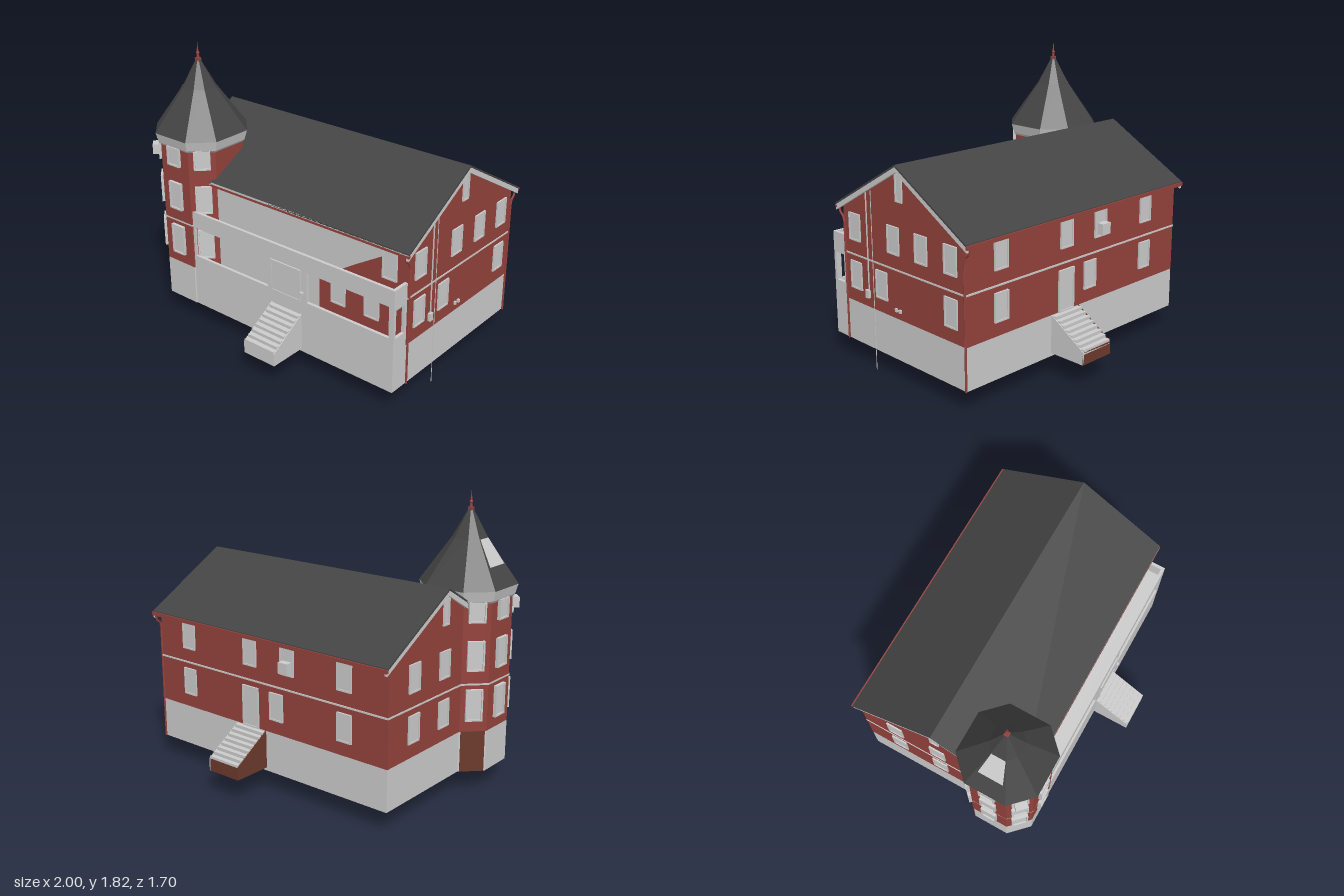
import * as THREE from 'three';

const mat = (color) => new THREE.MeshStandardMaterial({ color, side: THREE.DoubleSide, flatShading: true });
const GREY = mat(0xcccccc), RED = mat(0x94423c), ROOF = mat(0x444444), BROWN = mat(0x6b3a2c);

// House limits
const X0 = -0.85, X1 = 0.97, ZB = -0.6, ZF = 0.48, ZP = 0.6, RIDGE = -0.06;
const BASE = 0.13, FLOOR = 0.39;
const TX = -0.73, TZ = 0.365;

function add(parent, name, geo, material, x = 0, y = 0, z = 0, ry = 0) {
  const m = new THREE.Mesh(geo, material);
  m.name = name;
  m.position.set(x, y, z);
  m.rotation.y = ry;
  parent.add(m);
  return m;
}

// Box given by its limits
function box(parent, name, material, x0, x1, y0, y1, z0, z1) {
  return add(parent, name, new THREE.BoxGeometry(x1 - x0, y1 - y0, z1 - z0), material,
    (x0 + x1) / 2, (y0 + y1) / 2, (z0 + z1) / 2);
}

// Strip of flat quads between consecutive point rows
function loft(rows) {
  const pos = [];
  for (let r = 0; r < rows.length - 1; r++) {
    for (let i = 0; i < rows[r].length - 1; i++) {
      const a = rows[r][i], b = rows[r][i + 1], c = rows[r + 1][i + 1], d = rows[r + 1][i];
      pos.push(...a, ...b, ...c, ...a, ...c, ...d);
    }
  }
  const g = new THREE.BufferGeometry();
  g.setAttribute('position', new THREE.Float32BufferAttribute(pos, 3));
  g.computeVertexNormals();
  return g;
}
const wall = (path, y0, y1) => loft([y0, y1].map((y) => path.map(([x, z]) => [x, y, z])));

// Closed octagon ring with half-width a and short diagonal sides, running anticlockwise from above
function octagon(a, y) {
  const h = a / 2;
  return [[h, a], [a, h], [a, -h], [h, -a], [-h, -a], [-a, -h], [-a, h], [-h, a], [h, a]]
    .map(([x, z]) => [x, y, z]);
}

const polygon = (pts) => new THREE.Shape(pts.map(([x, y]) => new THREE.Vector2(x, y)));
// Extrude a (z, y) profile along x
function alongX(pts, x0, x1) {
  const g = new THREE.ExtrudeGeometry(polygon(pts.map(([z, y]) => [-z, y])), { depth: x1 - x0, bevelEnabled: false });
  return g.rotateY(Math.PI / 2).translate(x0, 0, 0);
}

// Framed window or door; local +z points out of the wall
function opening(parent, name, x, y, z, w, h, ry = 0, depth = 0.012) {
  const g = new THREE.Group();
  g.name = name;
  g.position.set(x, y, z);
  g.rotation.y = ry;
  const t = 0.01;
  box(g, 'pane', GREY, -w / 2, w / 2, -h / 2, h / 2, -0.005, depth * 0.5);
  for (const s of [-1, 1]) {
    add(g, 'frameSide', new THREE.BoxGeometry(t, h, depth), GREY, s * (w - t) / 2, 0, depth / 2);
    add(g, 'frameRail', new THREE.BoxGeometry(w, t, depth), GREY, 0, s * (h - t) / 2, depth / 2);
  }
  parent.add(g);
}

// Stairs descending toward local +z, with closed sloping sides
function stairs(name, z, ry, back) {
  const g = new THREE.Group();
  g.name = name;
  g.position.set(0.18, 0, z);
  g.rotation.y = ry;
  const n = 8, run = 0.25 / n, rise = 0.16 / n;
  for (let i = 0; i < n; i++) {
    const top = FLOOR - 0.005 - i * rise;
    box(g, 'step', GREY, -0.115, 0.115, top - rise - 0.01, top, i * run, (i + 1) * run);
  }
  const side = [[0, 0.15], [0.25, 0.15], [0.25, 0.23], [0, FLOOR]];
  add(g, 'stringer', alongX(side, -0.12, -0.112), GREY);
  add(g, 'stringer', alongX(side, 0.112, 0.12), back ? BROWN : GREY);
  box(g, 'front', back ? BROWN : GREY, -0.12, 0.12, 0.15, 0.23, 0.242, 0.25);
  return g;
}

function buildHouse() {
  const g = new THREE.Group();
  g.name = 'house';
  add(g, 'foundation', wall([[-0.61, ZP], [X1, ZP], [X1, ZB], [X0, ZB], [X0, 0.125]], BASE, FLOOR), GREY);
  add(g, 'backWall', wall([[X1, ZB], [X0, ZB]], FLOOR, 0.99), RED);
  add(g, 'frontWall', wall([[-0.55, ZF], [X1, ZF]], FLOOR, 0.99), RED);
  const gable = [[ZF, FLOOR], [ZB, FLOOR], [ZB, 0.985], [RIDGE, 1.29], [ZF, 0.985]];
  for (const x of [X0, X1]) add(g, 'gableWall', alongX(gable, x - 0.002, x + 0.002), RED);

  // Pale cladding on the front wall
  const clad = [[[-0.55, FLOOR], [0.34, FLOOR], [0.34, 0.62], [0.43, 0.68], [-0.55, 0.68]],
    [[-0.55, 0.68], [0.45, 0.68], [0.62, 0.79], [0.8, 0.9], [0.8, 0.985], [-0.55, 0.985]]];
  for (const c of clad) add(g, 'cladding', new THREE.ShapeGeometry(polygon(c)), GREY, 0, 0, ZF + 0.004);

  // Storey band
  box(g, 'bandBack', GREY, X0, X1, 0.685, 0.695, ZB - 0.006, ZB);
  box(g, 'bandRight', GREY, X1, X1 + 0.006, 0.685, 0.695, ZB, ZF);
  box(g, 'bandLeft', GREY, X0 - 0.006, X0, 0.685, 0.695, ZB, 0.13);

  // Roof with pale verge boards, soffits and gutters
  const chevron = (d0, d1) => [[0.52, 0.99 - d0], [RIDGE, 1.32 - d0], [-0.64, 0.99 - d0],
    [-0.64, 0.99 - d1], [RIDGE, 1.32 - d1], [0.52, 0.99 - d1]];
  add(g, 'roof', alongX(chevron(0, 0.012), -0.875, 1), ROOF);
  add(g, 'soffit', alongX(chevron(0.012, 0.02), -0.87, 0.996), GREY);
  for (const x of [-0.872, 0.98]) add(g, 'vergeBoard', alongX(chevron(0.012, 0.045), x, x + 0.018), GREY);
  box(g, 'frontFascia', GREY, -0.51, 0.995, 0.975, 0.99, 0.505, 0.52);
  box(g, 'frontGutter', RED, -0.51, 1, 0.963, 0.977, 0.508, 0.522);
  box(g, 'backGutter', RED, -0.875, 1, 0.963, 0.985, -0.65, -0.636);
  for (const [z, e] of [[0.47, 0.515], [-0.6, -0.64]]) {
    const path = new THREE.CatmullRomCurve3([[e, 0.965], [e, 0.94], [z, 0.9], [z, 0.86], [z, BASE]]
      .map(([pz, y]) => new THREE.Vector3(X1 + 0.006, y, pz)), false, 'catmullrom', 0.1);
    add(g, 'downpipe', new THREE.TubeGeometry(path, 24, 0.007, 6), RED);
  }

  // Windows and doors
  const R = Math.PI / 2;
  for (const z of [0.367, 0.005, -0.24, -0.485]) opening(g, 'window', X1, 0.865, z, 0.105, 0.17, R);
  for (const z of [0.367, 0.125, -0.485]) opening(g, 'window', X1, 0.563, z, 0.105, 0.175, R);
  for (const z of [-0.36, -0.06]) for (const y of [0.865, 0.563]) opening(g, 'window', X0, y, z, 0.105, 0.17, -R);
  for (const s of [-1, 1]) opening(g, 'atticWindow', s < 0 ? X0 : X1, 1.18, RIDGE, 0.06, 0.16, s * R);
  for (const x of [0.71, 0.18, -0.12, -0.55]) opening(g, 'window', x, 0.865, ZB, 0.105, 0.17, Math.PI);
  for (const x of [0.71, -0.03, -0.55]) opening(g, 'window', x, 0.563, ZB, 0.105, 0.175, Math.PI);
  opening(g, 'backDoor', 0.18, 0.52, ZB, 0.13, 0.26, Math.PI);
  for (const x of [0.485, 0.73]) opening(g, 'window', x, 0.563, ZF, 0.105, 0.175);
  opening(g, 'balconyWindow', 0.85, 0.865, ZF, 0.1, 0.19);
  box(g, 'airConditioner', GREY, -0.16, -0.09, 0.8, 0.87, -0.65, ZB);

  // Service fittings on the right gable
  box(g, 'groundRod', GREY, X1 + 0.003, X1 + 0.006, 0, 1.12, 0.203, 0.206);
  box(g, 'conduit', GREY, X1 + 0.003, X1 + 0.009, 0.5, 1.1, 0.246, 0.252);
  box(g, 'meter', GREY, X1, X1 + 0.02, 0.45, 0.5, 0.24, 0.27);
  for (const z of [-0.01, -0.045]) box(g, 'vent', GREY, X1, X1 + 0.015, 0.435, 0.455, z - 0.008, z + 0.008);
  return g;
}

function buildPorch() {
  const g = new THREE.Group();
  g.name = 'porch';
  // Front screen with two wide openings and the doorway
  const front = polygon([[-0.61, FLOOR], [X1, FLOOR], [X1, 0.79], [-0.61, 0.79]]);
  for (const [a, b, y0] of [[-0.59, 0.03, 0.48], [0.34, 0.935, 0.48]]) {
    front.holes.push(polygon([[a, y0], [a, 0.68], [b, 0.68], [b, y0]]));
  }
  add(g, 'frontScreen', new THREE.ExtrudeGeometry(front, { depth: 0.02, bevelEnabled: false }), GREY, 0, 0, ZP - 0.02);
  // End wall with its opening
  const end = polygon([[-ZP, FLOOR], [-ZF, FLOOR], [-ZF, 0.79], [-ZP, 0.79]]);
  end.holes.push(polygon([[-0.58, 0.48], [-0.5, 0.48], [-0.5, 0.66], [-0.58, 0.66]]));
  add(g, 'endScreen', new THREE.ExtrudeGeometry(end, { depth: 0.02, bevelEnabled: false }).rotateY(Math.PI / 2), GREY, X1 - 0.02);
  box(g, 'floor', GREY, -0.55, X1, FLOOR - 0.01, FLOOR, ZF, ZP);
  box(g, 'balconyFloor', GREY, -0.55, X1, 0.68, 0.69, ZF, ZP);
  opening(g, 'frontDoor', 0.18, 0.58, ZP, 0.235, 0.21, 0, 0.01);
  box(g, 'doorLamp', GREY, 0.3, 0.32, 0.53, 0.545, ZP, ZP + 0.02);
  return g;
}

function buildTower() {
  const g = new THREE.Group();
  g.name = 'tower';
  g.position.set(TX, 0, TZ);
  const A = 0.24;
  add(g, 'towerFoundation', loft([octagon(A, BASE), octagon(A, FLOOR)]), GREY);
  add(g, 'towerWall', loft([octagon(A, FLOOR), octagon(A, 1.19)]), RED);
  add(g, 'towerBand', loft([octagon(A + 0.004, 0.685), octagon(A + 0.004, 0.697)]), GREY);
  add(g, 'cornice', loft([octagon(A, 1.185), octagon(0.252, 1.2), octagon(0.268, 1.262)]), GREY);
  add(g, 'towerRoof', loft([octagon(0.268, 1.262), octagon(0.095, 1.535), octagon(0.01, 1.71)]), ROOF);
  add(g, 'roofPatch', loft([[[-0.195, 1.385, -0.08], [-0.195, 1.385, 0.08]],
    [[-0.099, 1.535, -0.045], [-0.099, 1.535, 0.045]]]), GREY);

  // Finial
  add(g, 'finialBase', new THREE.BoxGeometry(0.028, 0.02, 0.028), RED, 0, 1.705, 0);
  add(g, 'finialSpike', new THREE.ConeGeometry(0.01, 0.11, 8), RED, 0, 1.765, 0);
  add(g, 'finialBall', new THREE.SphereGeometry(0.011, 8, 6), RED, 0, 1.745, 0);

  // Windows on the five exposed faces, stepping round by an eighth turn
  for (let k = -3; k <= 1; k++) {
    const a = k * Math.PI / 4, d = k % 2 ? 0.18 * Math.SQRT2 : A;
    for (const [y, h] of [[0.56, 0.2], [0.868, 0.185], [1.135, 0.125]]) {
      opening(g, 'towerWindow', d * Math.sin(a), y, d * Math.cos(a), 0.105, h, a, 0.02);
    }
  }
  // Cellar door on the back left face, cooling unit on the front left one
  const q = Math.SQRT1_2;
  add(g, 'cellarDoor', new THREE.BoxGeometry(0.15, 0.26, 0.006), BROWN, -0.255 * q, 0.26, -0.255 * q, Math.PI / 4);
  add(g, 'airConditioner', new THREE.BoxGeometry(0.075, 0.065, 0.06), GREY, -0.283 * q, 1.132, 0.283 * q, -Math.PI / 4);
  return g;
}

export function createModel() {
  const model = new THREE.Group();
  model.name = 'houseWithTower';
  model.add(buildHouse(), buildPorch(), buildTower(),
    stairs('frontStairs', ZP, 0, false), stairs('backStairs', ZB, Math.PI, true));
  return model;
}
